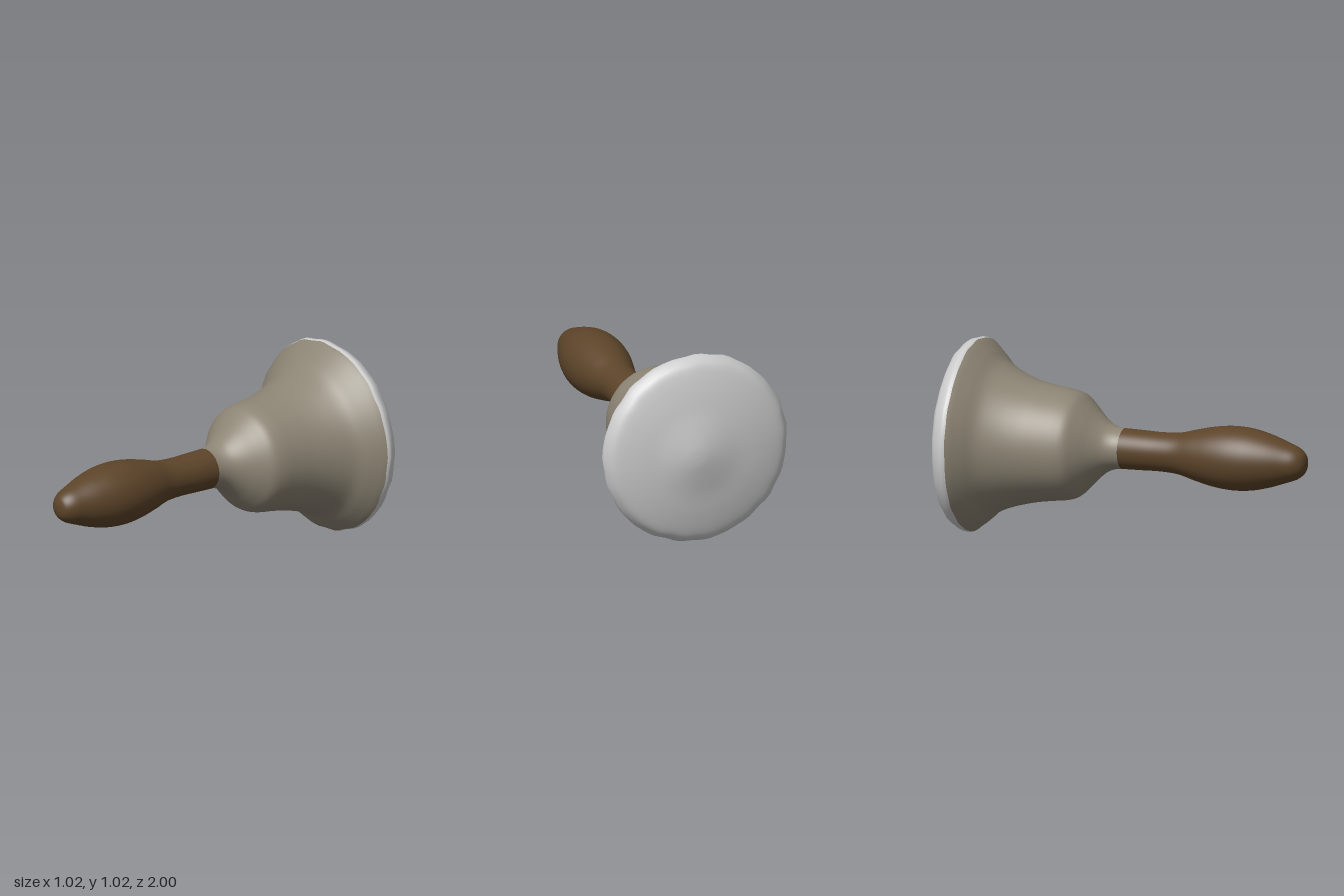
import * as THREE from 'three';

const { smoothstep } = THREE.MathUtils;

// The slightly bent centre line: the rim sits above the handle, the dome's peak to one side
const axisY = (z) => 0.498 - 0.004 * smoothstep(-z, 0.1, 0.3) + 0.014 * smoothstep(-z, 0.5, 0.84);
const axisX = (z) => -0.003 + 0.045 * smoothstep(-z, 0.91, 0.99);

// Hand-made unevenness of the radius, strongest at the rim
function unevenness(angle, z) {
  const ripple = Math.sin(7 * angle + 1) + Math.sin(17 * angle) + Math.sin(23 * angle + 2);
  return 1 + (0.001 + 0.003 * smoothstep(-z, 0.6, 0.84)) * ripple;
}

// Turns a smooth [radius, z] profile, listed from back to front, around the z axis
function turned(name, color, profile, samples) {
  const curve = new THREE.SplineCurve(profile.map(([r, z]) => new THREE.Vector2(r, z)));
  const points = curve.getPoints(samples);
  points.forEach((p) => { p.x = Math.max(p.x, 0); });
  const geometry = new THREE.LatheGeometry(points, 80);
  geometry.rotateX(Math.PI / 2);
  const position = geometry.attributes.position;
  for (let i = 0; i < position.count; i++) {
    const x = position.getX(i), y = position.getY(i), z = position.getZ(i);
    const scale = unevenness(Math.atan2(y, x), z);
    position.setXYZ(i, x * scale + axisX(z), y * scale + axisY(z), z);
  }
  const mesh = new THREE.Mesh(geometry, new THREE.MeshStandardMaterial({ color }));
  mesh.name = name;
  return mesh;
}

export function createModel() {
  const group = new THREE.Group();
  group.name = 'handBell';

  // Closed, shallowly domed mouth with a rounded rim
  group.add(turned('bellMouth', 0xcccccc, [
    [0, -0.995], [0.05, -0.992], [0.12, -0.979], [0.22, -0.957], [0.33, -0.936],
    [0.42, -0.913], [0.47, -0.892], [0.495, -0.863], [0.507, -0.835], [0.503, -0.815],
  ], 50));

  // Flared bell wall, rounded shoulder and neck
  group.add(turned('bellBody', 0x8c8474, [
    [0.503, -0.815], [0.487, -0.793], [0.45, -0.752], [0.393, -0.69], [0.35, -0.6],
    [0.319, -0.5], [0.301, -0.4], [0.289, -0.31], [0.27, -0.25], [0.226, -0.2],
    [0.17, -0.145], [0.13, -0.095], [0.111, -0.05], [0.106, -0.01],
  ], 80));

  // Wooden grip, swelling towards a narrow rounded end
  group.add(turned('handle', 0x5c4429, [
    [0.106, -0.01], [0.104, 0.1], [0.102, 0.2], [0.109, 0.3], [0.135, 0.4], [0.157, 0.5],
    [0.167, 0.6], [0.161, 0.7], [0.138, 0.8], [0.107, 0.89], [0.084, 0.95],
    [0.056, 0.985], [0.025, 0.998], [0, 1],
  ], 80));

  return group;
}
